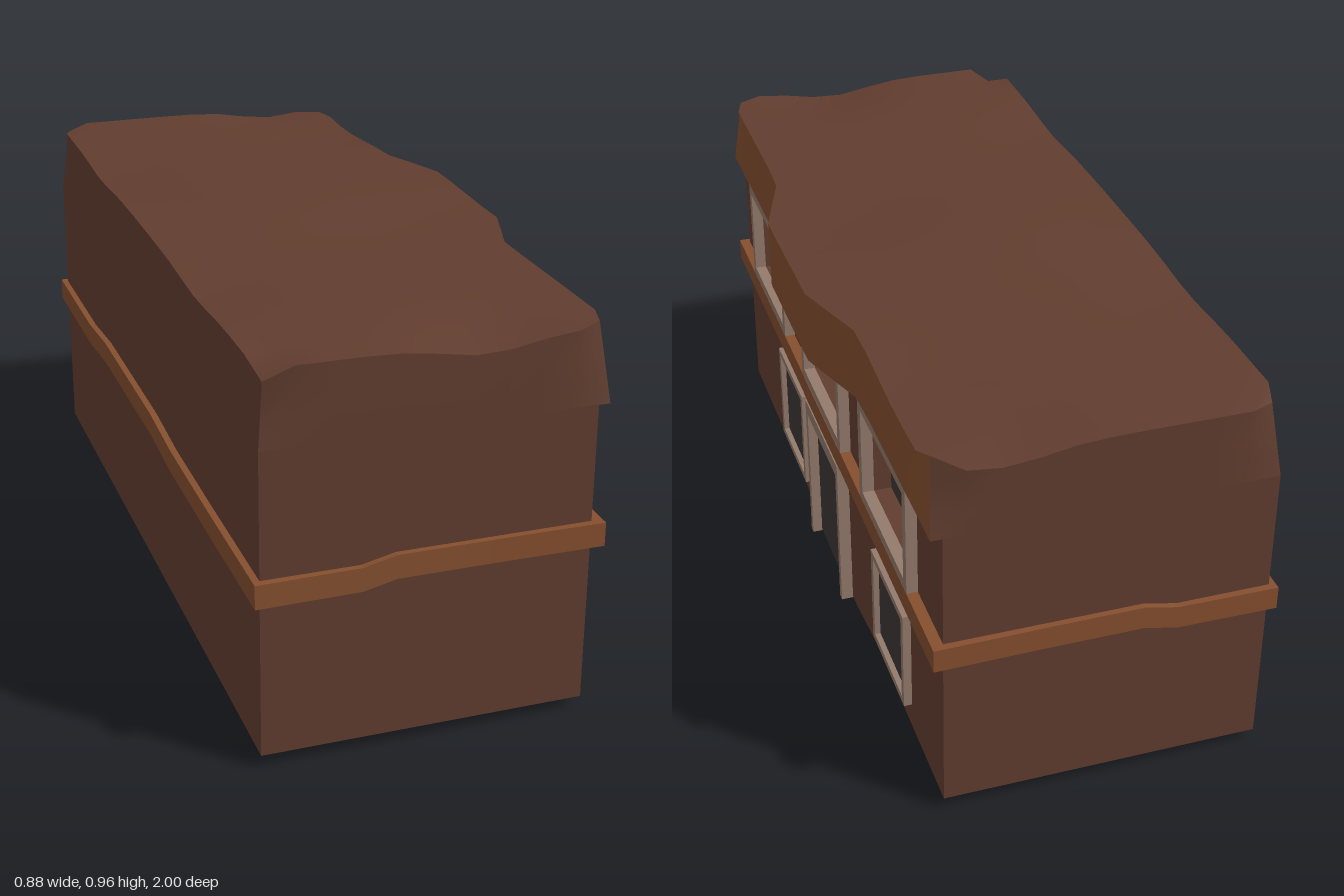
import * as THREE from 'three';

const mat = (name, color) => Object.assign(new THREE.MeshStandardMaterial({ color }), { name });
const clamp = (t) => Math.min(1, Math.max(0, t));

export function createModel() {
  const group = new THREE.Group();
  const brown = mat('brown wall', 0x613d2f);
  const orange = mat('orange trim', 0x854f2f);
  const stone = mat('pale frame', 0x937a6b);
  const glass = mat('dark glass', 0x3e3737);

  const add = (name, geometry, material) => {
    const mesh = new THREE.Mesh(geometry, material);
    mesh.name = name;
    group.add(mesh);
    return mesh;
  };
  // Moves every vertex by a rule, then recomputes normals
  const warp = (geometry, rule, flat = true) => {
    const g = flat ? geometry.toNonIndexed() : geometry;
    const p = g.attributes.position;
    const v = new THREE.Vector3();
    for (let i = 0; i < p.count; i++) {
      rule(v.fromBufferAttribute(p, i));
      p.setXYZ(i, v.x, v.y, v.z);
    }
    g.computeVertexNormals();
    return g;
  };
  // Rectangle [s0, y0, s1, y1] on the facade, where s = -z
  const rectangle = (Type, [s0, y0, s1, y1]) => {
    const r = new Type();
    r.moveTo(s0, y0);
    r.lineTo(s1, y0);
    r.lineTo(s1, y1);
    r.lineTo(s0, y1);
    r.closePath();
    return r;
  };
  // Extrudes a facade shape outward along x
  const extrude = (shape, x0, x1) =>
    new THREE.ExtrudeGeometry(shape, { depth: x1 - x0, bevelEnabled: false })
      .rotateY(Math.PI / 2).translate(x0, 0, 0);

  const upper = [[-0.79, 0.485, -0.40, 0.768], [-0.20, 0.485, 0.20, 0.765], [0.39, 0.485, 0.79, 0.768]];
  const lower = [[-0.535, 0.09, -0.26, 0.37], [0.45, 0.098, 0.725, 0.365]];
  const inset = ([a, b, c, d], t) => [a + t, b + t, c - t, d - t];

  // Main body, its base dropping toward the doorway
  const body = new THREE.BoxGeometry(0.705, 0.735, 1.96, 10, 1, 20).translate(-0.0745, 0.3975, 0);
  add('body', warp(body, (v) => {
    if (v.y < 0.1) v.y -= 0.026 * clamp((0.4 - Math.abs(v.z)) / 0.2) * clamp((v.x - 0.11) / 0.08);
  }), brown);

  // Facade slab with deep openings for the upper windows
  const wall = new THREE.Shape();
  [[-0.98, 0.03], [-0.4, 0.03], [-0.2, 0.004], [0.2, 0.004], [0.4, 0.03], [0.98, 0.03], [0.98, 0.767], [-0.98, 0.767]]
    .forEach(([s, y], i) => (i ? wall.lineTo(s, y) : wall.moveTo(s, y)));
  wall.closePath();
  upper.forEach((w) => wall.holes.push(rectangle(THREE.Path, inset(w, 0.024))));
  add('facade', extrude(wall, 0.278, 0.345), brown);

  // Windows
  const frame = (name, rect, width, front) => {
    const shape = rectangle(THREE.Shape, rect);
    shape.holes.push(rectangle(THREE.Path, inset(rect, width)));
    add(name, extrude(shape, 0.343, front), stone);
  };
  const pane = (name, rect, x) => add(name, extrude(rectangle(THREE.Shape, rect), x - 0.006, x), glass);
  upper.forEach((w) => {
    frame('upperWindowFrame', w, 0.025, 0.372);
    pane('upperWindowPane', inset(w, 0.022), 0.3);
  });
  lower.forEach((w) => {
    frame('lowerWindowFrame', w, 0.018, 0.365);
    pane('lowerWindowPane', inset(w, 0.015), 0.351);
  });

  // Doorway
  const door = new THREE.Shape();
  [[-0.167, 0], [-0.147, 0], [-0.147, 0.385], [0.147, 0.385], [0.147, 0], [0.167, 0], [0.167, 0.422], [-0.167, 0.422]]
    .forEach(([s, y], i) => (i ? door.lineTo(s, y) : door.moveTo(s, y)));
  door.closePath();
  add('doorFrame', extrude(door, 0.343, 0.375), stone);
  pane('doorPane', [-0.148, 0.004, 0.148, 0.34], 0.35);
  add('doorLintel', extrude(rectangle(THREE.Shape, [-0.148, 0.335, 0.148, 0.386]), 0.343, 0.358), orange);

  // Uneven roof block: corners pulled in, front edge bulging over the middle
  const bumps = [
    [0.08, 0.98, -0.03, 0.13], [0.2, -0.98, -0.025, 0.12], [0.37, -0.75, -0.022, 0.22],
    [-0.1, 0, 0.009, 0.25], [0.37, 0.15, -0.008, 0.2], [-0.43, 0.5, -0.012, 0.15], [-0.43, -0.45, -0.012, 0.15],
  ];
  const roofHeight = (x, z) => bumps.reduce(
    (y, [bx, bz, h, r]) => y + h * Math.exp(-((x - bx) ** 2 + (z - bz) ** 2) / (r * r)), 0.947);
  const roof = new THREE.BoxGeometry(0.799, 1, 1.96, 10, 3, 20).translate(-0.0275, 0.5, 0);
  add('roof', warp(roof, (v) => {
    const { x, y: t, z } = v;
    const corner = Math.abs(z) > 0.97 && (x > 0.36 || x < -0.42);
    let top = roofHeight(x, z);
    if (corner) {
      if (x < 0) top -= z > 0 ? 0.042 : 0.01;
      v.x -= Math.sign(x) * 0.02 * t;
      v.z -= Math.sign(z) * (z < 0 && x > 0 ? 0.06 : 0.035) * t;
    }
    v.y = 0.765 + (top - 0.765) * t;
    v.x += 0.069 * clamp((0.4 - Math.abs(z)) / 0.2) * clamp((x - 0.25) / 0.12);
  }, false), [orange, brown, brown, brown, brown, brown]);

  // Wavy band around the building: [x, z, height of its middle]
  const path = [
    [0.372, 0.998, 0.455], [0.372, 0.2, 0.455], [0.372, 0.16, 0.452], [0.372, -0.16, 0.452], [0.372, -0.2, 0.455],
    [0.372, -0.998, 0.455], [0.1, -0.995, 0.455], [-0.12, -0.995, 0.455], [-0.2, -0.995, 0.437],
    [-0.443, -0.998, 0.437], [-0.443, -0.6, 0.437], [-0.443, -0.4, 0.455], [-0.443, 0.1, 0.455],
    [-0.443, 0.3, 0.44], [-0.443, 0.6, 0.437], [-0.443, 0.998, 0.437], [-0.2, 0.995, 0.437],
    [-0.12, 0.995, 0.455], [0.1, 0.995, 0.455],
  ];
  const corners = path.map(([x, z, y]) => {
    const ix = Math.min(0.34, Math.max(-0.42, x));
    const iz = Math.min(0.97, Math.max(-0.97, z));
    return [[ix, y - 0.029, iz], [x, y - 0.029, z], [x, y + 0.029, z], [ix, y + 0.029, iz]];
  });
  const position = [];
  corners.forEach((a, i) => {
    const b = corners[(i + 1) % corners.length];
    for (let k = 0; k < 3; k++) {
      position.push(...a[k], ...b[k], ...b[k + 1], ...a[k], ...b[k + 1], ...a[k + 1]);
    }
  });
  const band = new THREE.BufferGeometry();
  band.setAttribute('position', new THREE.Float32BufferAttribute(position, 3));
  band.computeVertexNormals();
  add('band', band, orange);

  return group;
}
